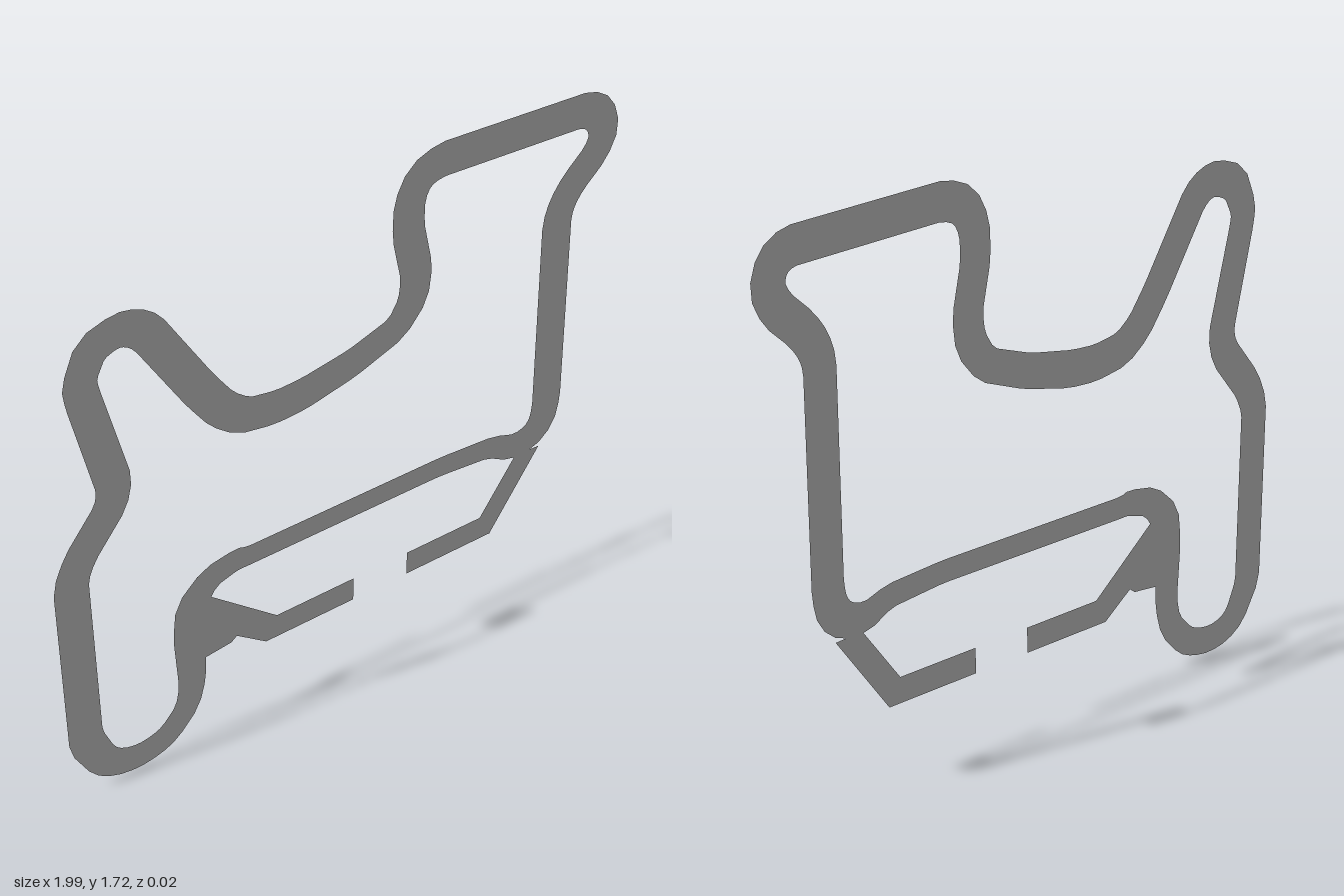
import * as THREE from 'three';

// slight lean of the whole flat sheet
const lean = (y) => 0.014 * (y - 0.75);

// closed ribbon along a centre line of [x, y, width], corners lightly bevelled
function ribbon(points) {
  const n = points.length;
  const line = [];
  points.forEach(([x, y, w], i) => {
    for (const j of [(i + n - 1) % n, (i + 1) % n]) {
      const dx = points[j][0] - x, dy = points[j][1] - y, len = Math.hypot(dx, dy);
      const f = Math.min(0.02, len / 4) / len;
      line.push([x + dx * f, y + dy * f, w + (points[j][2] - w) * f]);
    }
  });
  const m = line.length, pos = [], index = [];
  const normal = (a, b) => new THREE.Vector2(a[1] - b[1], b[0] - a[0]).normalize();
  line.forEach((p, i) => {
    const n0 = normal(line[(i + m - 1) % m], p);
    const miter = normal(p, line[(i + 1) % m]).add(n0).normalize();
    const half = p[2] / 2 / miter.dot(n0);
    for (const s of [half, -half]) {
      const y = p[1] + miter.y * s;
      pos.push(p[0] + miter.x * s, y, lean(y));
    }
    const a = 2 * i, b = 2 * ((i + 1) % m);
    index.push(a, a + 1, b + 1, a, b + 1, b);
  });
  const g = new THREE.BufferGeometry();
  g.setAttribute('position', new THREE.Float32BufferAttribute(pos, 3));
  g.setIndex(index);
  g.computeVertexNormals();
  return g;
}

// flat polygon from its corners
function plate(corners) {
  const g = new THREE.ShapeGeometry(new THREE.Shape(corners.map(([x, y]) => new THREE.Vector2(x, y))));
  const p = g.attributes.position;
  for (let i = 0; i < p.count; i++) p.setZ(i, lean(p.getY(i)));
  g.computeVertexNormals();
  return g;
}

export function createModel() {
  const group = new THREE.Group();
  const asphalt = new THREE.MeshStandardMaterial({ color: 0xc5c5c5, side: THREE.DoubleSide });
  asphalt.name = 'light asphalt grey';
  const add = (name, geometry) => {
    const mesh = new THREE.Mesh(geometry, asphalt);
    mesh.name = name;
    group.add(mesh);
  };

  const w = 0.113;
  // main circuit, counter-clockwise in sections
  const lowerLeft = [[-0.943, 0.78, w], [-0.925, 0.2, w], [-0.87, 0.097, 0.1], [-0.82, 0.064, 0.094],
    [-0.755, 0.051, 0.09], [-0.69, 0.06, 0.09], [-0.64, 0.081, 0.09], [-0.575, 0.15, 0.09],
    [-0.555, 0.23, 0.095], [-0.56, 0.42, w], [-0.55, 0.515, w], [-0.485, 0.585, 0.09],
    [-0.39, 0.606, 0.08]];
  const straight = [[-0.36, 0.6, 0.07], [0.36, 0.6, 0.07], [0.56, 0.585, 0.075], [0.645, 0.548, 0.09]];
  const right = [[0.715, 0.556, 0.105], [0.76, 0.595, w], [0.775, 0.66, w], [0.774, 1.31, w],
    [0.792, 1.365, w], [0.83, 1.417, w], [0.91, 1.488, w], [0.939, 1.55, w], [0.917, 1.615, w],
    [0.865, 1.646, w]];
  const top = [[0.32, 1.668, w], [0.25, 1.642, w], [0.215, 1.575, w], [0.213, 1.48, w],
    [0.247, 1.33, w], [0.237, 1.245, w], [0.18, 1.17, 0.1], [0.02, 1.115, 0.105],
    [-0.15, 1.082, w], [-0.25, 1.077, w], [-0.36, 1.095, w], [-0.43, 1.147, w], [-0.5, 1.24, w]];
  const upperLeft = [[-0.665, 1.495, w], [-0.71, 1.527, 0.11], [-0.76, 1.537, 0.107],
    [-0.84, 1.51, w], [-0.88, 1.42, 0.107], [-0.874, 1.375, 0.107], [-0.788, 1.05, w],
    [-0.803, 0.985, w], [-0.91, 0.855, w]];
  add('mainCircuit', ribbon([...lowerLeft, ...straight, ...right, ...top, ...upperLeft]));

  // pit lane, open in the middle
  add('pitLaneLeft', plate([[-0.51, 0.3], [-0.415, 0.31], [-0.395, 0.325], [-0.29, 0.25],
    [0.035, 0.25], [0.035, 0.33], [-0.25, 0.33], [-0.49, 0.52], [-0.51, 0.52]]));
  add('pitLaneRight', plate([[0.24, 0.25], [0.57, 0.25], [0.755, 0.505], [0.66, 0.51],
    [0.527, 0.33], [0.24, 0.33]]));
  return group;
}
